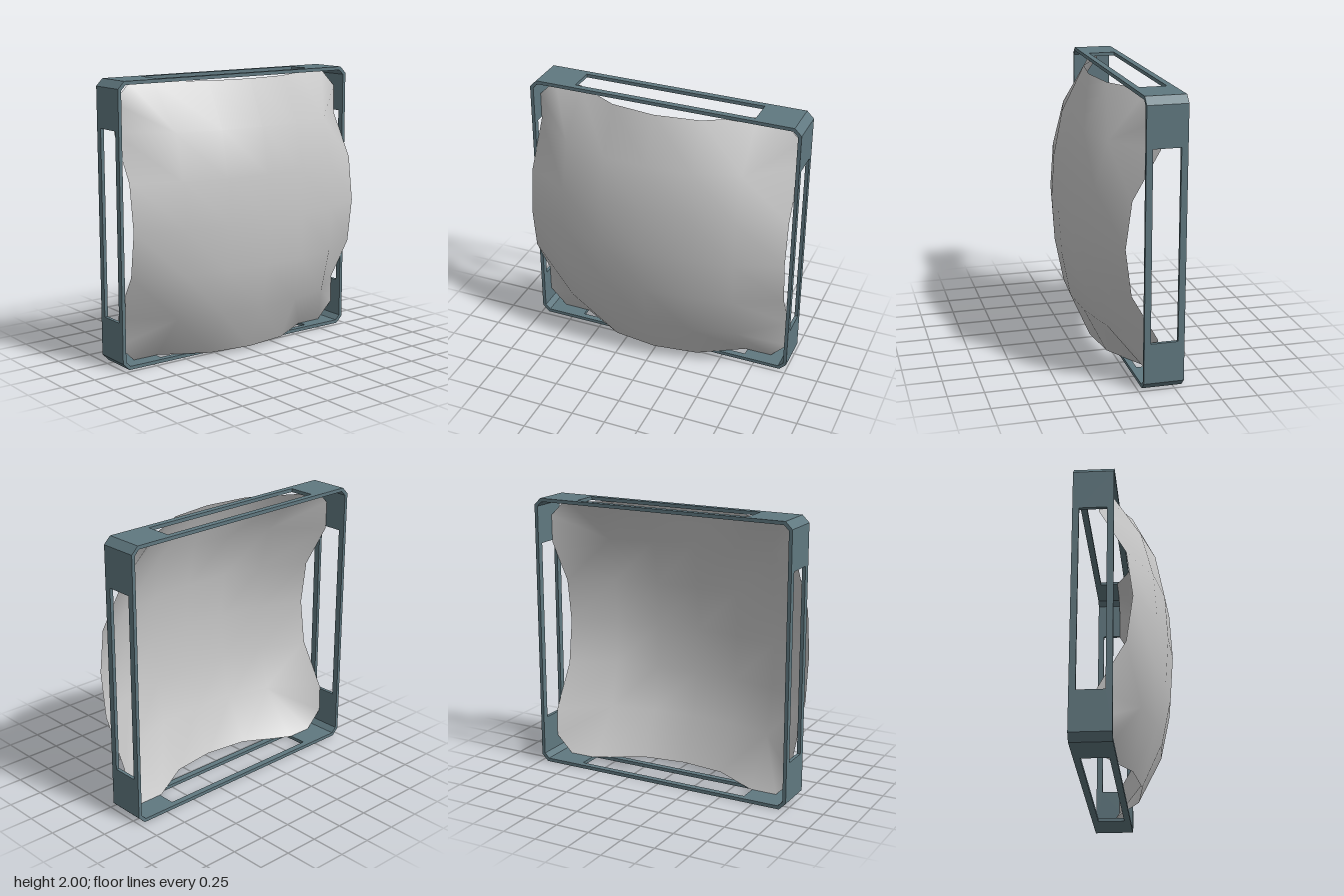
import * as THREE from 'three';
import { mergeVertices } from 'three/addons/utils/BufferGeometryUtils.js';

const FRAME_BACK = -0.315, FRAME_FRONT = -0.035; // frame extent along x
const WALL = 0.025, CHAMFER = 0.05, WALL_HALF = 0.94;

const polygon = (pts, Type = THREE.Shape) => new Type(pts.map(([a, b]) => new THREE.Vector2(a, b)));
const rect = (x0, y0, x1, y1) => [[x0, y0], [x1, y0], [x1, y1], [x0, y1]];

// One straight frame wall with a long slot, lying on top of the frame
function wallGeometry() {
  const shape = polygon(rect(FRAME_BACK, -WALL_HALF, FRAME_FRONT, WALL_HALF));
  shape.holes.push(polygon(rect(-0.27, -0.665, -0.08, 0.665).reverse(), THREE.Path));
  return new THREE.ExtrudeGeometry(shape, { depth: WALL, bevelEnabled: false })
    .rotateX(-Math.PI / 2).translate(0, 1 - WALL, 0);
}

// Chamfered corner piece joining two walls
function cornerGeometry() {
  const i = 1 - WALL, w = WALL_HALF, c = 1 - CHAMFER;
  const shape = polygon([[1, w], [1, c], [c, 1], [w, 1], [w, i], [i, w]]);
  return new THREE.ExtrudeGeometry(shape, { depth: FRAME_FRONT - FRAME_BACK, bevelEnabled: false })
    .rotateY(Math.PI / 2).translate(FRAME_BACK, 0, 0);
}

// Domed sheet: coarse grid with clipped corners, sagging towards its rim
function domeGeometry() {
  const half = 0.975, cells = 6, step = (2 * half) / cells, cut = 0.85;
  const height = (y, z) => {
    const r2 = y * y + z * z;
    return Math.max(-0.14, 0.315 - r2 * (0.19 + 0.054 * r2 ** 3));
  };
  const positions = [];
  const at = (i) => (i - cells / 2) * step;
  for (let i = 0; i < cells; i++) {
    for (let j = 0; j < cells; j++) {
      const loop = rect(at(i), at(j), at(i + 1), at(j + 1));
      // Replace the outermost point of a corner cell with two points
      const k = loop.findIndex(([y, z]) => Math.abs(y) > 0.97 && Math.abs(z) > 0.97);
      if (k >= 0) {
        const [y, z] = loop[k];
        const pair = [[y, Math.sign(z) * cut], [Math.sign(y) * cut, z]];
        if (y * z < 0) pair.reverse();
        loop.splice(k, 1, ...pair);
        // Start the fan at the innermost point
        while (Math.hypot(...loop[0]) > 0.93) loop.push(loop.shift());
      }
      for (let n = 1; n < loop.length - 1; n++) {
        for (const [y, z] of [loop[0], loop[n], loop[n + 1]]) positions.push(height(y, z), y, z);
      }
    }
  }
  const geometry = new THREE.BufferGeometry();
  geometry.setAttribute('position', new THREE.Float32BufferAttribute(positions, 3));
  const smooth = mergeVertices(geometry, 1e-4);
  smooth.computeVertexNormals();
  return smooth;
}

export function createModel() {
  const frameMaterial = new THREE.MeshStandardMaterial({ color: 0x607880 });
  frameMaterial.name = 'slate frame';
  const sheetMaterial = new THREE.MeshStandardMaterial({ color: 0xc8c8c8, side: THREE.DoubleSide });
  sheetMaterial.name = 'light grey sheet';

  const model = new THREE.Group();
  model.name = 'framedDome';

  // Square frame from four repeated sides
  const frame = new THREE.Group();
  frame.name = 'frame';
  const wall = wallGeometry(), corner = cornerGeometry();
  for (let i = 0; i < 4; i++) {
    const side = new THREE.Group();
    side.name = `frameSide${i + 1}`;
    const wallMesh = new THREE.Mesh(wall, frameMaterial);
    wallMesh.name = 'slottedWall';
    const cornerMesh = new THREE.Mesh(corner, frameMaterial);
    cornerMesh.name = 'frameCorner';
    side.add(wallMesh, cornerMesh);
    side.rotation.x = i * Math.PI / 2;
    frame.add(side);
  }

  const dome = new THREE.Mesh(domeGeometry(), sheetMaterial);
  dome.name = 'domedSheet';

  frame.position.y = dome.position.y = 1;
  model.add(frame, dome);
  return model;
}
